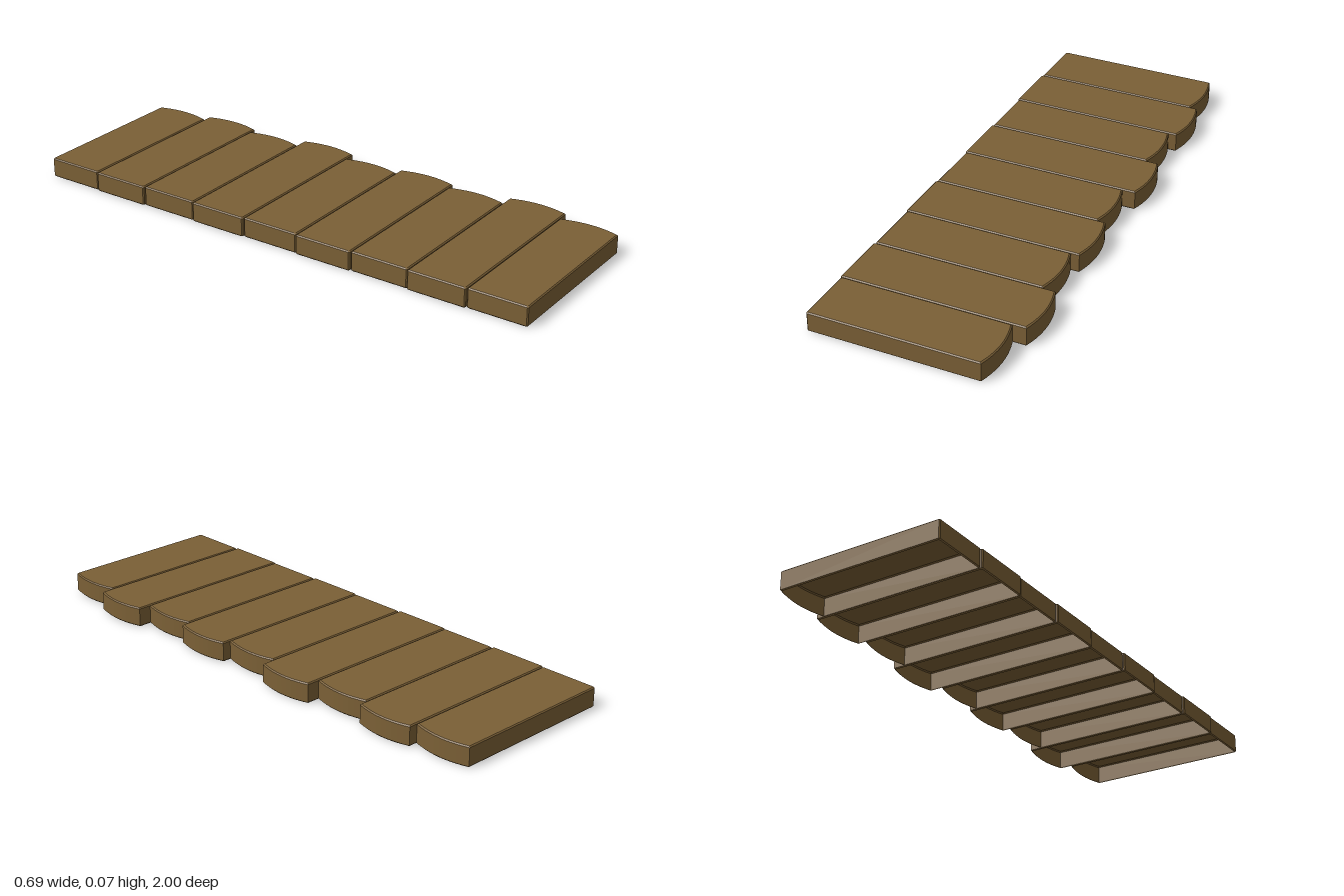
import * as THREE from 'three';

const HEIGHT = 0.073, WIDTH = 0.22, PITCH = 0.2225, CHAMFER = 0.004, BOW = 0.018;

// Plan outline of one plank: square left end, bowed right end
function plankOutline(left, tip, inset) {
  const w = WIDTH / 2 - inset, l = left + inset, k = CHAMFER;
  const pts = [[l + k, -w], [l, -w + k], [l, w - k], [l + k, w]];
  const steps = 10;
  for (let i = 0; i <= steps; i++) {
    const t = 1 - (2 * i) / steps;
    pts.push([tip - inset - BOW * t * t, w * t]);
  }
  return pts;
}

// Hollow plank: chamfered side walls and a top, open underneath
function plankGeometry(left, tip) {
  const rings = [[CHAMFER, 0], [0, CHAMFER], [0, HEIGHT - CHAMFER], [CHAMFER, HEIGHT]];
  const pos = [], index = [];
  let n = 0;
  for (const [inset, y] of rings) {
    const outline = plankOutline(left, tip, inset);
    n = outline.length;
    for (const [x, z] of outline) pos.push(x, y, z);
  }
  for (let r = 0; r < rings.length - 1; r++) {
    for (let i = 0; i < n; i++) {
      const j = (i + 1) % n;
      const a = r * n + i, b = r * n + j, c = b + n, d = a + n;
      index.push(a, b, c, a, c, d);
    }
  }
  // Top face as a fan around its centre
  const centre = pos.length / 3, top = (rings.length - 1) * n;
  pos.push((left + tip) / 2, HEIGHT, 0);
  for (let i = 0; i < n; i++) index.push(centre, top + i, top + ((i + 1) % n));

  const indexed = new THREE.BufferGeometry();
  indexed.setAttribute('position', new THREE.Float32BufferAttribute(pos, 3));
  indexed.setIndex(index);
  const geometry = indexed.toNonIndexed();
  geometry.computeVertexNormals();
  return geometry;
}

export function createModel() {
  const group = new THREE.Group();
  group.name = 'plankWalkway';
  const wood = new THREE.MeshStandardMaterial({
    color: 0x7b6036, flatShading: true, side: THREE.DoubleSide,
  });

  // Nine planks from back to front, in alternating lengths
  const tips = [0.298, 0.328, 0.298, 0.345, 0.298, 0.328, 0.298, 0.345, 0.298];
  tips.forEach((tip, i) => {
    const left = i % 2 ? -0.345 : -0.34;
    const plank = new THREE.Mesh(plankGeometry(left, tip), wood);
    plank.name = `plank${i + 1}`;
    plank.position.z = (i - 4) * PITCH;
    group.add(plank);
  });
  return group;
}
